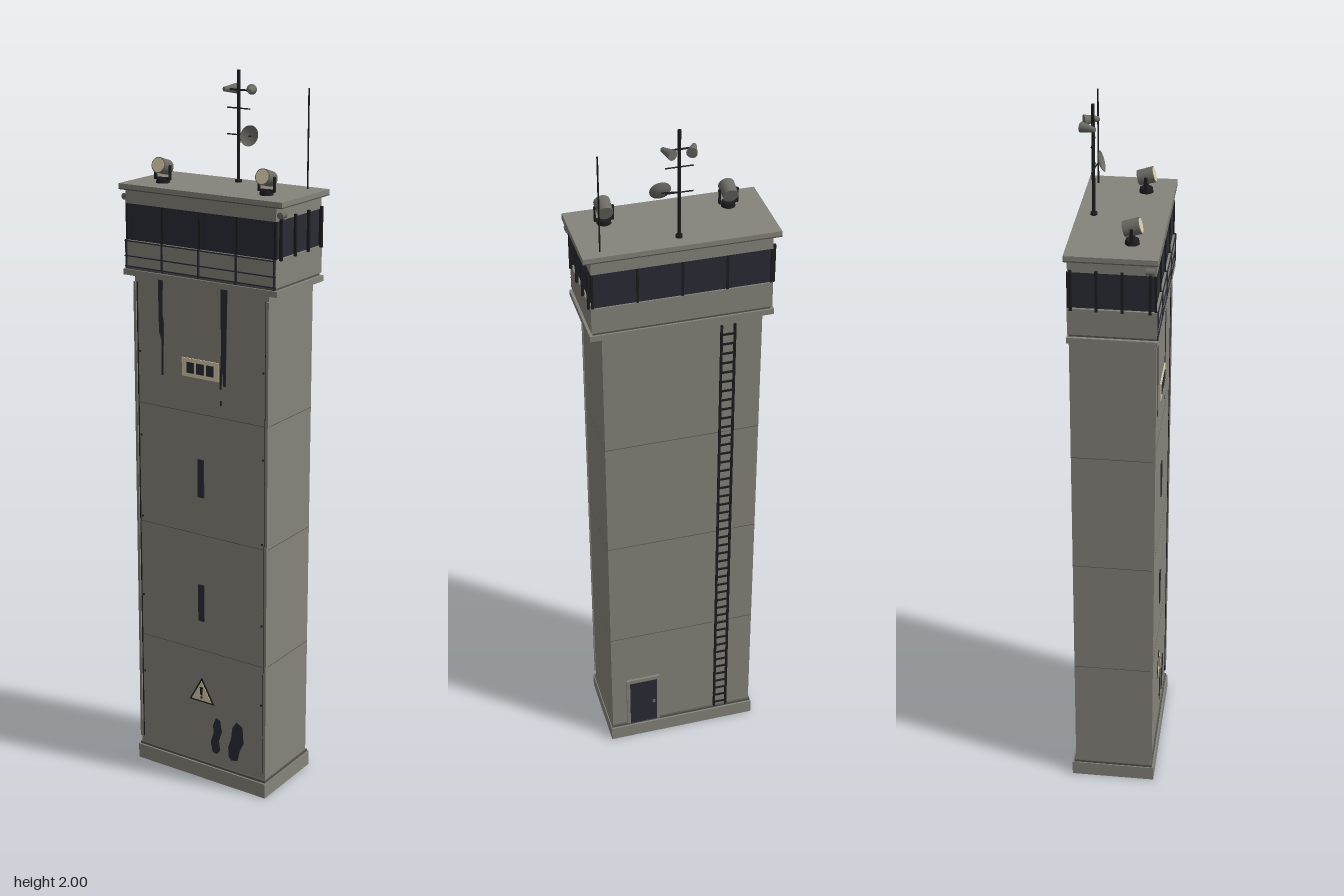
import * as THREE from 'three';

const mat = (name, color) => new THREE.MeshStandardMaterial({ name, color });

export function createModel() {
  const root = new THREE.Group();
  root.name = 'watchtower';
  const concrete = mat('concrete', 0x85847b);
  const glass = mat('darkGlass', 0x2a2c35);
  const metal = mat('blackMetal', 0x1d1d20);
  const grey = mat('greyMetal', 0x6c6b65);
  const cream = mat('cream', 0xd9ccaa);
  const joint = mat('joint', 0x55554f);

  const add = (name, geo, m, x = 0, y = 0, z = 0, parent = root) => {
    const mesh = new THREE.Mesh(geo, m);
    mesh.name = name;
    mesh.position.set(x, y, z);
    parent.add(mesh);
    return mesh;
  };
  // box given by its limits
  const box = (name, m, x0, x1, y0, y1, z0, z1, parent = root) =>
    add(name, new THREE.BoxGeometry(x1 - x0, y1 - y0, z1 - z0), m,
      (x0 + x1) / 2, (y0 + y1) / 2, (z0 + z1) / 2, parent);
  const rod = (name, m, r, a, b, parent = root) => {
    const p = new THREE.Vector3(...a), d = new THREE.Vector3(...b).sub(p);
    const mesh = add(name, new THREE.CylinderGeometry(r, r, d.length(), 8), m, 0, 0, 0, parent);
    mesh.position.copy(p).addScaledVector(d, 0.5);
    mesh.quaternion.setFromUnitVectors(new THREE.Vector3(0, 1, 0), d.normalize());
    return mesh;
  };
  // thin painted plate on the front wall
  const plate = (name, m, pts, z = 0.11, depth = 0.002) =>
    add(name, new THREE.ExtrudeGeometry(new THREE.Shape(pts.map(p => new THREE.Vector2(...p))),
      { depth, bevelEnabled: false }), m, 0, 0, z);

  // plinth and shaft
  box('plinth', concrete, -0.22, 0.22, 0, 0.044, -0.12, 0.12);
  box('plinthJoint', joint, -0.217, 0.217, 0.044, 0.051, -0.115, 0.115);
  box('shaft', concrete, -0.214, 0.214, 0.05, 1.46, -0.11, 0.11);
  for (const y of [0.4, 0.75, 1.1])
    box('formworkJoint', joint, -0.2145, 0.2145, y - 0.0008, y + 0.0008, -0.1105, 0.1105);
  for (const s of [-1, 1]) {
    add('cornerTrim', new THREE.BoxGeometry(0.008, 1.37, 0.006), concrete, s * 0.213, 0.755, 0.112);
    add('cornerGroove', new THREE.BoxGeometry(0.003, 1.37, 0.003), metal, s * 0.207, 0.755, 0.1105);
    for (let i = 0; i < 5; i++)
      add('trimBolt', new THREE.BoxGeometry(0.005, 0.005, 0.004), metal, s * 0.2, 0.283 + i * 0.241, 0.1105);
  }

  // front slits
  for (const y of [0.545, 0.915]) box('slitWindow', glass, -0.01, 0.01, y - 0.055, y + 0.055, 0.108, 0.113);

  // vent panel
  box('ventPanel', cream, -0.06, 0.058, 1.2, 1.252, 0.109, 0.113);
  for (let i = -1; i <= 1; i++)
    box('ventOpening', glass, i * 0.032 - 0.012, i * 0.032 + 0.012, 1.211, 1.241, 0.112, 0.1145);

  // warning triangle
  plate('warningBorder', metal, [[-0.042, 0.238], [0.042, 0.238], [0, 0.314]]);
  plate('warningFace', cream, [[-0.034, 0.243], [0.034, 0.243], [0, 0.304]], 0.1115);
  plate('warningMark', metal, [[-0.003, 0.26], [0.003, 0.26], [0.005, 0.285], [-0.005, 0.285]], 0.1128);
  box('warningDot', metal, -0.003, 0.003, 0.25, 0.256, 0.113, 0.115);

  // grime patches and drip streaks
  plate('grimePatch', glass, [[0.05, 0.085], [0.062, 0.1], [0.058, 0.13], [0.068, 0.16], [0.062, 0.195],
    [0.048, 0.2], [0.038, 0.175], [0.04, 0.15], [0.03, 0.12], [0.036, 0.09]], 0.11, 0.001);
  plate('grimePatch', glass, [[0.1, 0.08], [0.122, 0.085], [0.128, 0.115], [0.142, 0.145], [0.138, 0.195],
    [0.118, 0.206], [0.104, 0.185], [0.1, 0.15], [0.09, 0.12], [0.092, 0.09]], 0.11, 0.001);
  plate('dripStreak', glass, [[-0.138, 1.455], [-0.136, 1.31], [-0.128, 1.29], [-0.13, 1.19], [-0.123, 1.19],
    [-0.12, 1.34], [-0.124, 1.36], [-0.122, 1.455]], 0.11, 0.001);
  plate('dripStreak', glass, [[0.064, 1.455], [0.066, 1.29], [0.061, 1.18], [0.067, 1.18], [0.071, 1.24],
    [0.073, 1.19], [0.081, 1.19], [0.083, 1.32], [0.086, 1.455]], 0.11, 0.001);
  box('dripSpot', glass, 0.063, 0.068, 1.135, 1.148, 0.11, 0.111);

  // cab
  box('cabLedge', concrete, -0.245, 0.245, 1.457, 1.473, -0.112, 0.12);
  box('cabJoint', joint, -0.236, 0.236, 1.473, 1.48, -0.107, 0.115);
  box('cabParapet', concrete, -0.24, 0.24, 1.48, 1.553, -0.11, 0.118);
  box('cabGlass', glass, -0.233, 0.233, 1.553, 1.652, -0.106, 0.112);
  box('cabHeader', concrete, -0.237, 0.237, 1.652, 1.69, -0.108, 0.115);
  box('roof', concrete, -0.257, 0.257, 1.69, 1.704, -0.115, 0.12);
  box('roofEdge', joint, -0.2575, 0.2575, 1.688, 1.691, -0.1155, 0.1205);

  // window bars on all four sides
  for (const x of [-0.235, -0.118, 0, 0.118, 0.235]) {
    box('windowBar', metal, x - 0.003, x + 0.003, 1.553, 1.652, 0.11, 0.116);
    box('windowBar', metal, x - 0.003, x + 0.003, 1.553, 1.652, -0.11, -0.104);
    box('railPost', glass, x - 0.0025, x + 0.0025, 1.475, 1.555, 0.116, 0.121);
  }
  for (const s of [-1, 1]) for (const z of [-0.1, -0.035, 0.03, 0.1])
    add('sideFin', new THREE.BoxGeometry(0.007, 0.11, 0.007), metal, s * 0.243, 1.605, z);
  for (const y of [1.482, 1.51, 1.551]) box('frontRail', glass, -0.24, 0.24, y - 0.0015, y + 0.0015, 0.117, 0.121);
  for (const s of [-1, 1]) {
    const lamp = add('cornerCamera', new THREE.CylinderGeometry(0.009, 0.009, 0.022, 10), grey, s * 0.246, 1.668, 0.1);
    lamp.rotation.x = Math.PI / 2;
  }

  // back door
  box('doorFrame', concrete, 0.068, 0.17, 0.05, 0.228, -0.117, -0.109);
  box('door', glass, 0.078, 0.16, 0.052, 0.216, -0.1185, -0.112);
  box('doorHandle', grey, 0.084, 0.092, 0.125, 0.135, -0.1215, -0.118);

  // back ladder
  const ladder = new THREE.Group();
  ladder.name = 'ladder';
  root.add(ladder);
  for (const x of [-0.138, -0.102]) box('ladderRail', metal, x - 0.003, x + 0.003, 0.055, 1.45, -0.121, -0.115, ladder);
  for (let i = 0; i < 46; i++)
    box('ladderRung', metal, -0.138, -0.102, 0.068 + i * 0.03, 0.073 + i * 0.03, -0.12, -0.116, ladder);
  for (const y of [0.1, 0.55, 1, 1.42]) for (const x of [-0.138, -0.102])
    box('ladderBracket', metal, x - 0.002, x + 0.002, y, y + 0.005, -0.116, -0.109, ladder);

  // searchlights
  for (const s of [-1, 1]) {
    const light = new THREE.Group();
    light.name = 'searchlight';
    light.position.set(s * 0.164, 1.704, 0.046);
    root.add(light);
    add('searchlightBase', new THREE.CylinderGeometry(0.017, 0.019, 0.012, 16), metal, 0, 0.006, 0, light);
    for (const k of [-1, 1])
      add('searchlightYoke', new THREE.BoxGeometry(0.004, 0.04, 0.009), metal, k * 0.0235, 0.028, 0, light);
    add('yokeBar', new THREE.BoxGeometry(0.05, 0.006, 0.009), metal, 0, 0.011, 0, light);
    rod('searchlightPivot', metal, 0.003, [-0.027, 0.045, 0], [0.027, 0.045, 0], light);
    const head = new THREE.Group();
    head.name = 'searchlightHead';
    head.position.y = 0.044;
    head.rotation.x = Math.PI / 2 - 0.27;
    light.add(head);
    add('searchlightHousing', new THREE.CylinderGeometry(0.0215, 0.02, 0.044, 20), grey, 0, 0, 0, head);
    add('searchlightLens', new THREE.CylinderGeometry(0.019, 0.019, 0.003, 20), cream, 0, 0.0215, 0, head);
  }

  // mast with crossbars, horns and dish
  rod('mast', metal, 0.0045, [0, 1.7, -0.072], [0, 2, -0.072]);
  add('mastFoot', new THREE.CylinderGeometry(0.009, 0.009, 0.008, 12), metal, 0, 1.707, -0.072);
  rod('crossbar', metal, 0.0018, [-0.036, 1.9, -0.072], [0.036, 1.9, -0.072]);
  rod('crossbar', metal, 0.0018, [-0.036, 1.83, -0.072], [0.036, 1.83, -0.072]);
  rod('hornBar', metal, 0.0025, [-0.028, 1.948, -0.072], [0.028, 1.948, -0.072]);
  for (const s of [-1, 1]) {
    const horn = add('hornSpeaker', new THREE.CylinderGeometry(0.014, 0.006, 0.04, 16), grey, s * 0.032, 1.948, -0.08);
    horn.quaternion.setFromUnitVectors(new THREE.Vector3(0, 1, 0), new THREE.Vector3(-s * 0.4, 0, -0.9).normalize());
  }
  const bowl = [];
  for (let i = 0; i <= 6; i++) bowl.push(new THREE.Vector2(0.028 * i / 6, 0.009 * (i / 6) ** 2));
  const dishMat = grey.clone();
  dishMat.name = 'dishGrey';
  dishMat.side = THREE.DoubleSide;
  const dish = add('dish', new THREE.LatheGeometry(bowl, 24), dishMat, 0.044, 1.83, -0.064);
  dish.rotation.x = Math.PI / 2 - 0.3;
  rod('dishArm', metal, 0.002, [0, 1.83, -0.07], [0.044, 1.83, -0.064]);

  // whip antenna
  rod('whipAntenna', metal, 0.0022, [0.207, 1.7, -0.087], [0.207, 1.965, -0.087]);
  return root;
}
